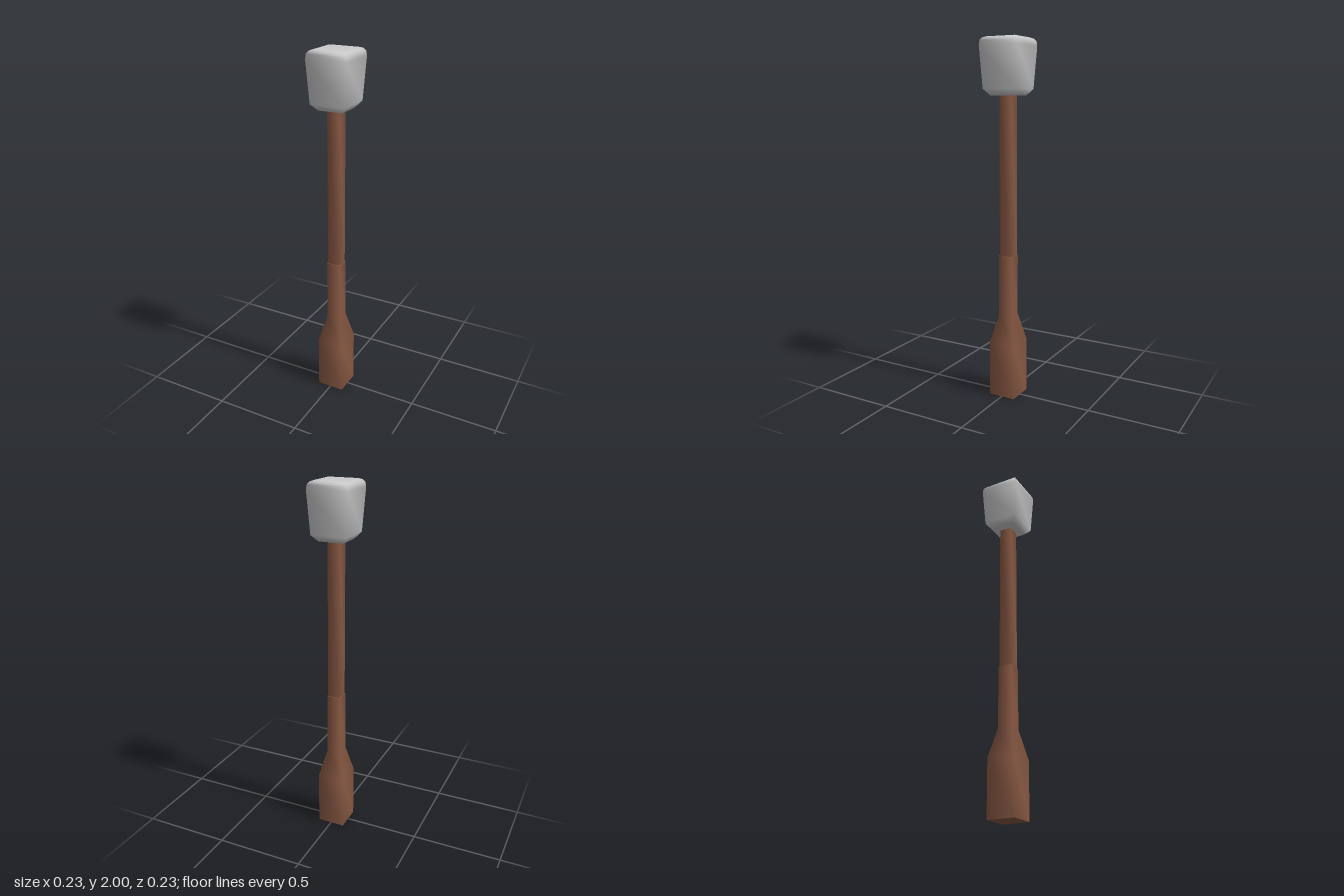
import * as THREE from 'three';

// Loft square rings given as [y, halfWidth]; a repeated ring makes a hard edge.
function squareLoft(rings) {
  const corners = [[1, 1], [1, -1], [-1, -1], [-1, 1]];
  const positions = [], index = [];
  rings.forEach(([y, h], r) => {
    corners.forEach(([x, z], i) => {
      positions.push(x * h, y, z * h);
      if (r === 0) return;
      const a = (r - 1) * 4 + i, b = (r - 1) * 4 + (i + 1) % 4;
      const c = b + 4, d = a + 4;
      index.push(a, b, d, b, c, d);
    });
  });
  const geometry = new THREE.BufferGeometry();
  geometry.setAttribute('position', new THREE.Float32BufferAttribute(positions, 3));
  geometry.setIndex(index);
  geometry.computeVertexNormals();
  return geometry;
}

export function createModel() {
  const group = new THREE.Group();
  const wood = new THREE.MeshStandardMaterial({ color: 0x8a5a44 });
  const grey = new THREE.MeshStandardMaterial({ color: 0xcccccc });

  const add = (name, material, rings) => {
    const mesh = new THREE.Mesh(squareLoft(rings), material);
    mesh.name = name;
    group.add(mesh);
  };

  // Thick foot narrowing into the lower sleeve
  add('handleBase', wood, [
    [0, 0], [0, 0.078], [0, 0.078], [0.31, 0.078], [0.47, 0.039],
    [0.815, 0.039], [0.815, 0.039], [0.815, 0],
  ]);

  // Slim upper shaft, slightly thinner than the sleeve
  add('shaft', wood, [[0.8, 0.035], [1.72, 0.035]]);

  // Square head with chamfered underside and softly rounded top
  add('head', grey, [
    [1.695, 0], [1.695, 0.07], [1.73, 0.1], [1.955, 0.114], [1.98, 0.111],
    [1.994, 0.101], [2, 0.085], [2, 0],
  ]);

  return group;
}
